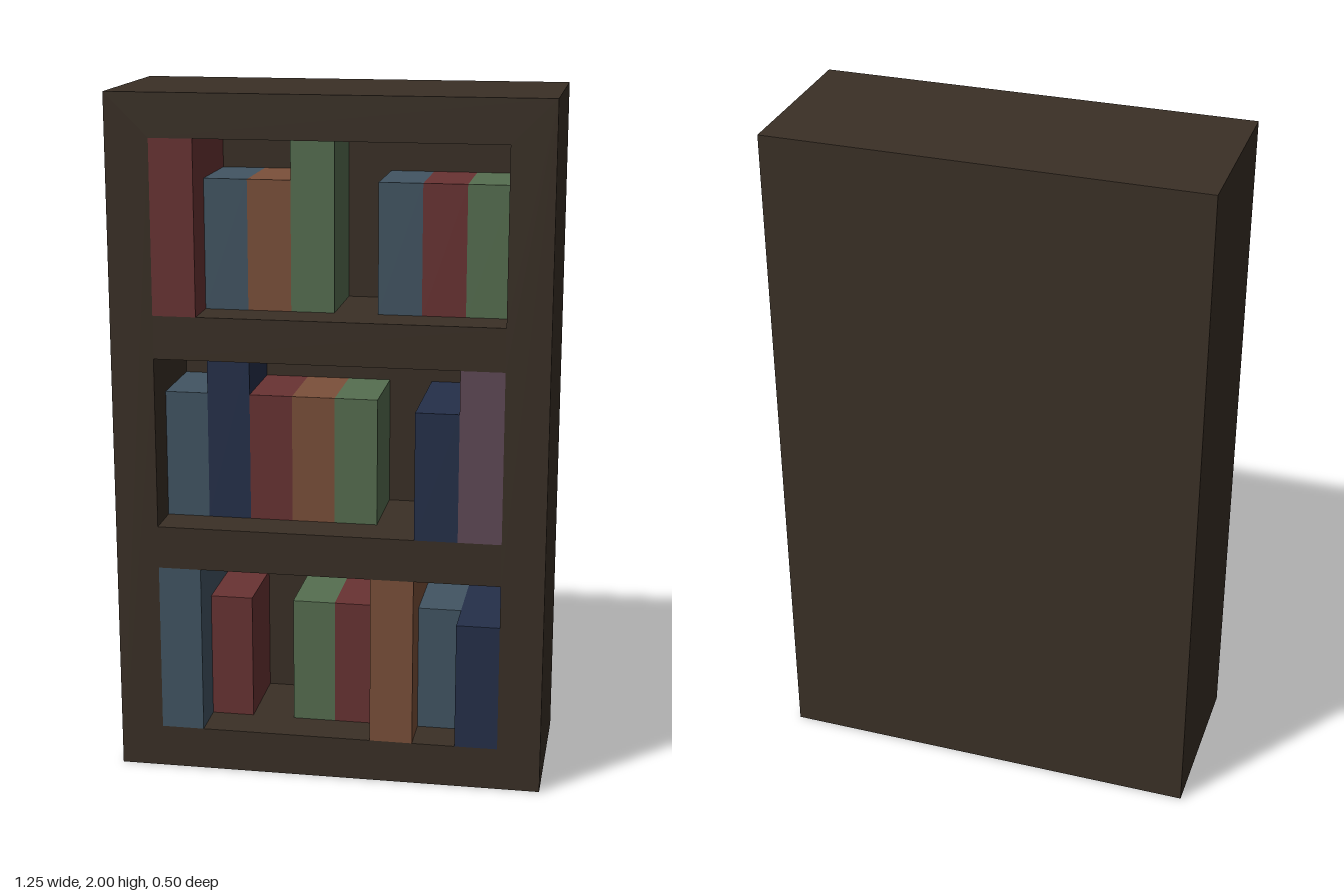
import * as THREE from 'three';

const U = 0.125; // base module of the bookcase

const COLORS = {
  wood: 0x3a3026, red: 0x693333, blue: 0x425563, orange: 0x7b503a,
  green: 0x566e50, navy: 0x25304a, purple: 0x5f4956,
};

// Each book: [colour, slot from the left, height in modules, front z]
const SHELVES = [
  { floor: 1, books: [
    ['blue', 0, 4, 0.25], ['red', 1, 3, 0.125], ['green', 3, 3, 0.125], ['red', 4, 3, 0.125],
    ['orange', 5, 4, 0.25], ['blue', 6, 3, 0.125], ['navy', 7, 3, 0.25]] },
  { floor: 6, books: [
    ['blue', 0, 3, 0.125], ['navy', 1, 4, 0.125], ['red', 2, 3, 0.125], ['orange', 3, 3, 0.125],
    ['green', 4, 3, 0.125], ['navy', 6, 3, 0.25], ['purple', 7, 4, 0.25]] },
  { floor: 11, books: [
    ['red', 0, 4, 0.25], ['blue', 1, 3, 0.125], ['orange', 2, 3, 0.125], ['green', 3, 4, 0.125],
    ['blue', 5, 3, 0.125], ['red', 6, 3, 0.125], ['green', 7, 3, 0.125]] },
];

function rect(path, x0, y0, x1, y1) {
  path.moveTo(x0, y0);
  path.lineTo(x1, y0);
  path.lineTo(x1, y1);
  path.lineTo(x0, y1);
  path.closePath();
  return path;
}

export function createModel() {
  const model = new THREE.Group();
  model.name = 'bookcase';

  const mats = {};
  for (const [name, color] of Object.entries(COLORS)) {
    mats[name] = new THREE.MeshStandardMaterial({ color });
    mats[name].name = name;
  }

  const add = (parent, name, geometry, material, x, y, z) => {
    const mesh = new THREE.Mesh(geometry, material);
    mesh.name = name;
    mesh.position.set(x, y, z);
    parent.add(mesh);
  };

  // Frame with three shelf openings
  const outline = rect(new THREE.Shape(), -5 * U, 0, 5 * U, 16 * U);
  for (const { floor } of SHELVES) {
    outline.holes.push(rect(new THREE.Path(), -4 * U, floor * U, 4 * U, (floor + 4) * U));
  }
  const frame = new THREE.ExtrudeGeometry(outline, { depth: 3 * U, bevelEnabled: false });
  add(model, 'frame', frame, mats.wood, 0, 0, -U);

  // Back panel
  add(model, 'backPanel', new THREE.BoxGeometry(10 * U, 16 * U, U), mats.wood, 0, 8 * U, -1.5 * U);

  // Books, all reaching to the back panel
  SHELVES.forEach(({ floor, books }, i) => {
    const row = new THREE.Group();
    row.name = `bookRow${i + 1}`;
    for (const [color, slot, height, front] of books) {
      const depth = front + U;
      add(row, `${color}Book`, new THREE.BoxGeometry(U, height * U, depth), mats[color],
        (slot - 3.5) * U, (floor + height / 2) * U, front - depth / 2);
    }
    model.add(row);
  });

  return model;
}
